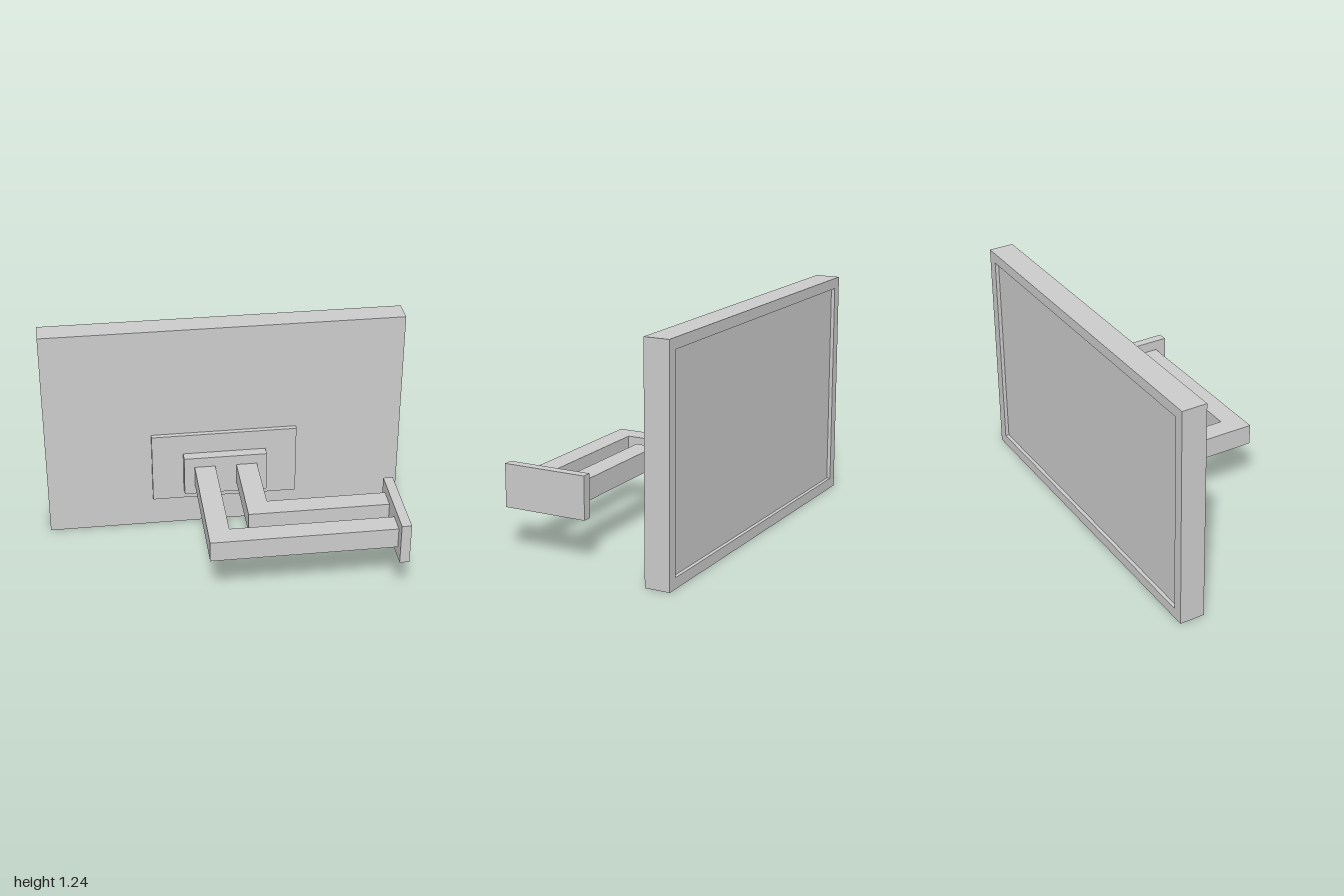
import * as THREE from 'three';

const material = new THREE.MeshStandardMaterial({ color: 0xcccccc, flatShading: true });

// Box given by its lower and upper limits on each axis
function block(name, [x0, x1], [y0, y1], [z0, z1]) {
  const mesh = new THREE.Mesh(new THREE.BoxGeometry(x1 - x0, y1 - y0, z1 - z0), material);
  mesh.position.set((x0 + x1) / 2, (y0 + y1) / 2, (z0 + z1) / 2);
  mesh.name = name;
  return mesh;
}

// L-shaped arm: runs forward from the mount, then turns left to the wall plate
function bentArm(name, x, z) {
  const width = 0.116, start = -0.287, end = 0.825;
  const outline = new THREE.Shape([
    [x, start], [x + width, start], [x + width, z - width],
    [end, z - width], [end, z], [x, z],
  ].map(([px, pz]) => new THREE.Vector2(px, pz)));
  const geometry = new THREE.ExtrudeGeometry(outline, { depth: width, bevelEnabled: false });
  geometry.rotateX(Math.PI / 2);
  const mesh = new THREE.Mesh(geometry, material);
  mesh.position.y = 0.414;
  mesh.name = name;
  return mesh;
}

export function createModel() {
  const model = new THREE.Group();
  model.name = 'wallMountedScreen';
  const height = 1.236, border = 0.058, recess = 0.02;
  const back = -0.51, front = -0.373;

  // Solid casing, with a raised bezel around the sunken screen at the back
  model.add(block('casing', [-1, 1], [0, height], [back + recess, front]));
  const rim = new THREE.Shape([
    new THREE.Vector2(-1, 0), new THREE.Vector2(1, 0),
    new THREE.Vector2(1, height), new THREE.Vector2(-1, height),
  ]);
  const a = 1 - border, b = height - border;
  rim.holes.push(new THREE.Path([
    new THREE.Vector2(-a, border), new THREE.Vector2(-a, b),
    new THREE.Vector2(a, b), new THREE.Vector2(a, border),
  ]));
  const bezel = new THREE.Mesh(
    new THREE.ExtrudeGeometry(rim, { depth: recess, bevelEnabled: false }), material);
  bezel.position.z = back;
  bezel.name = 'bezel';
  model.add(bezel);

  // Stepped mounting plates
  model.add(block('mountingPlate', [-0.41, 0.405], [0.18, 0.59], [front, -0.345]));
  model.add(block('mountingBlock', [-0.235, 0.23], [0.24, 0.472], [-0.345, -0.287]));

  // Two nested arms and the wall plate
  model.add(bentArm('outerArm', -0.177, 0.448));
  model.add(bentArm('innerArm', 0.058, 0.213));
  model.add(block('wallPlate', [0.825, 0.878], [0.24, 0.472], [0.04, 0.51]));
  return model;
}
